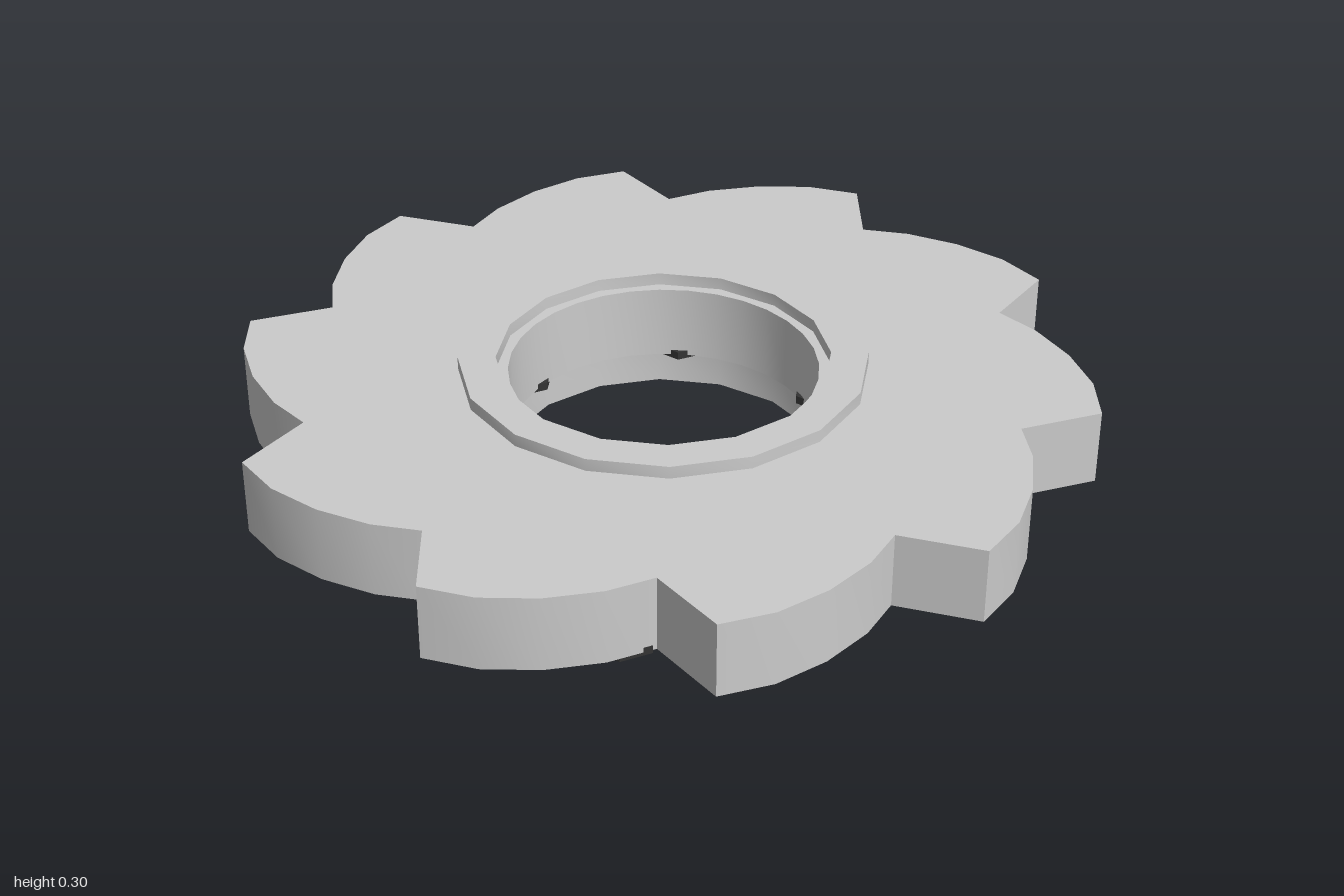
import * as THREE from 'three';
import { toCreasedNormals } from 'three/addons/utils/BufferGeometryUtils.js';

const grey = new THREE.MeshStandardMaterial({ color: 0xcccccc });
const dark = new THREE.MeshStandardMaterial({ color: 0x333333 });

// Points of a regular polygon
function ring(radius, sides) {
  return Array.from({ length: sides }, (_, i) => {
    const a = (i / sides) * Math.PI * 2;
    return new THREE.Vector2(radius * Math.cos(a), radius * Math.sin(a));
  });
}

// Flat plate with a bore, lying between two heights
function plate(name, outline, bore, bottom, top) {
  const shape = new THREE.Shape(outline);
  shape.holes.push(new THREE.Path(bore));
  const geometry = new THREE.ExtrudeGeometry(shape, { depth: top - bottom, bevelEnabled: false });
  geometry.rotateX(Math.PI / 2).translate(0, top, 0);
  const mesh = new THREE.Mesh(toCreasedNormals(geometry, 0.6), grey);
  mesh.name = name;
  return mesh;
}

export function createModel() {
  const model = new THREE.Group();
  model.name = 'toothedCutter';

  // Ten swept teeth: each rises from a notch to the next tip (degrees, radius)
  const tooth = [[0, 1], [7, 0.836], [13.6, 0.89], [21.2, 0.94], [28.7, 0.98]];
  const outline = [];
  for (let i = 0; i < 10; i++) {
    for (const [deg, r] of tooth) {
      const a = THREE.MathUtils.degToRad(deg + i * 36);
      outline.push(new THREE.Vector2(r * Math.cos(a), r * Math.sin(a)));
    }
  }
  model.add(plate('toothedDisc', outline, ring(0.358, 32), 0.09, 0.27));

  // Raised rim above and hub collar below
  model.add(plate('topRim', ring(0.472, 16), ring(0.385, 16), 0.27, 0.3));
  model.add(plate('hubCollar', ring(0.49, 16), ring(0.387, 16), 0, 0.09));

  // Two circles of hexagonal bolt heads under the disc
  const hexagon = new THREE.CylinderGeometry(0.075, 0.075, 0.02, 6).toNonIndexed();
  hexagon.computeVertexNormals();
  hexagon.rotateY(Math.PI / 6);
  const bolts = new THREE.Group();
  bolts.name = 'boltHeads';
  for (const [name, radius] of [['innerBolt', 0.42], ['outerBolt', 0.8]]) {
    for (let i = 0; i < 6; i++) {
      const a = (i * Math.PI) / 3;
      const bolt = new THREE.Mesh(hexagon, dark);
      bolt.name = name;
      bolt.position.set(radius * Math.cos(a), 0.092, radius * Math.sin(a));
      bolts.add(bolt);
    }
  }
  model.add(bolts);
  return model;
}
